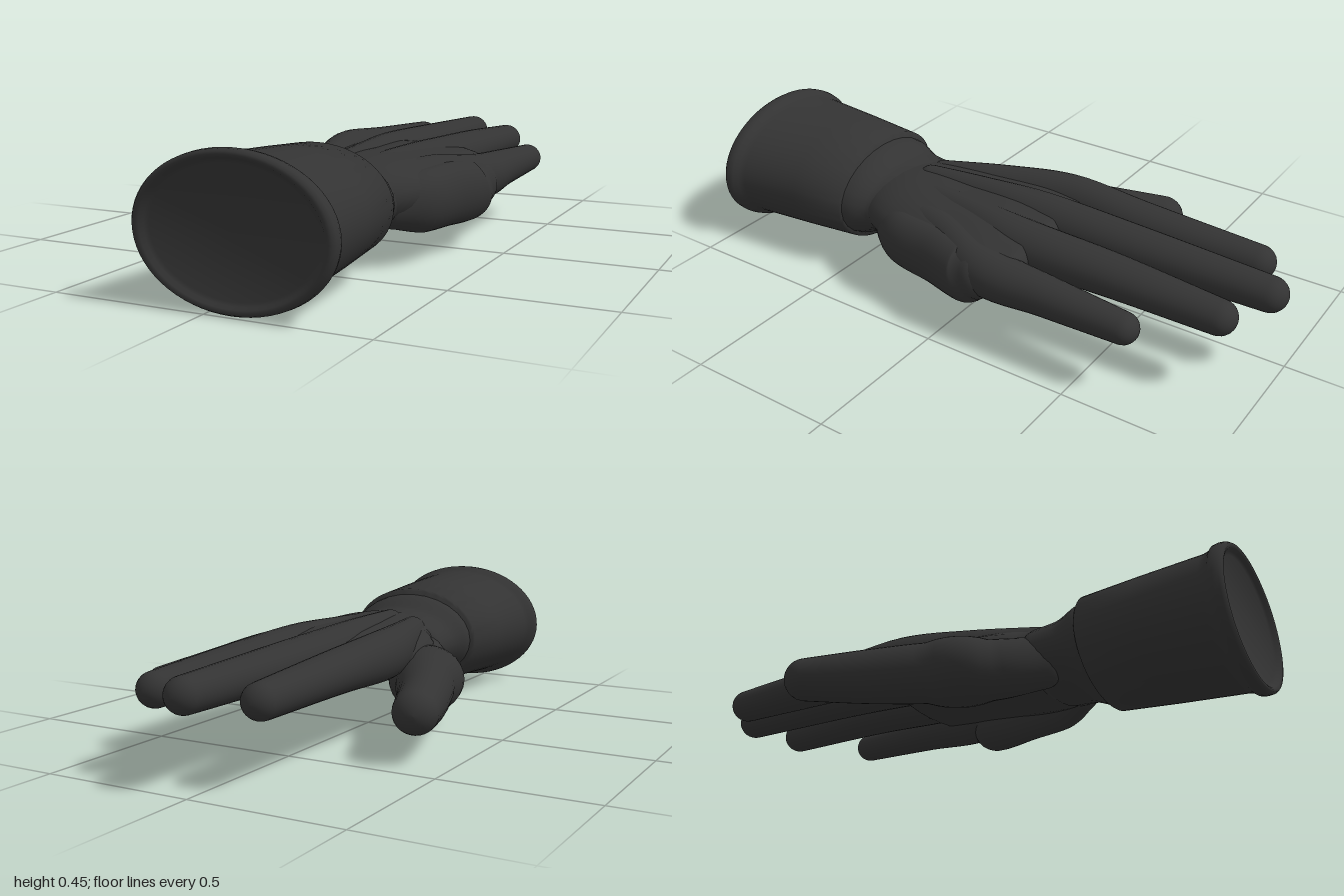
import * as THREE from 'three';
import { toCreasedNormals } from 'three/addons/utils/BufferGeometryUtils.js';

// Smooth limb with rounded ends; each row is [x, y, z, half width, half height]
function limb(rows, startCap = 1, endCap = 1) {
  const path = new THREE.CatmullRomCurve3(rows.map(r => new THREE.Vector3(r[0], r[1], r[2])));
  const size = new THREE.CatmullRomCurve3(rows.map(r => new THREE.Vector3(r[3], r[4], 0)));
  const steps = (rows.length - 1) * 6, sides = 28, capRings = 7;
  const rings = [];
  const addRing = (t, angle, dir, cap) => {
    const s = size.getPoint(t), tangent = path.getTangent(t);
    const centre = path.getPoint(t).addScaledVector(tangent, dir * cap * Math.min(s.x, s.y) * Math.sin(angle));
    const k = Math.max(Math.cos(angle), 0.002);
    rings.push({ centre, tangent, w: s.x * k, h: s.y * k });
  };
  for (let i = capRings; i > 0; i--) addRing(0, i / capRings * Math.PI / 2, -1, startCap);
  for (let i = 0; i <= steps; i++) addRing(i / steps, 0, 0, 0);
  for (let i = 1; i <= capRings; i++) addRing(1, i / capRings * Math.PI / 2, 1, endCap);

  const pos = [], index = [], up = new THREE.Vector3(0, 1, 0);
  rings.forEach((r, i) => {
    const side = new THREE.Vector3().crossVectors(r.tangent, up).normalize();
    const top = new THREE.Vector3().crossVectors(side, r.tangent);
    for (let j = 0; j < sides; j++) {
      const a = j / sides * Math.PI * 2;
      const p = r.centre.clone().addScaledVector(side, Math.cos(a) * r.w).addScaledVector(top, Math.sin(a) * r.h);
      pos.push(p.x, p.y, p.z);
      if (i === rings.length - 1) continue;
      const p0 = i * sides + j, p1 = i * sides + (j + 1) % sides;
      index.push(p0, p0 + sides, p1, p1, p0 + sides, p1 + sides);
    }
  });
  const g = new THREE.BufferGeometry();
  g.setAttribute('position', new THREE.Float32BufferAttribute(pos, 3));
  g.setIndex(index);
  g.computeVertexNormals();
  return g;
}

export function createModel() {
  const glove = new THREE.Group();
  glove.name = 'glove';
  const rubber = new THREE.MeshStandardMaterial({ color: 0x333333 });
  rubber.name = 'black rubber';
  const add = (name, geometry) => {
    const mesh = new THREE.Mesh(geometry, rubber);
    mesh.name = name;
    glove.add(mesh);
  };

  // Oval cuff with a rolled rim and a slightly sunken end; points are [radius, z]
  const profile = [
    [0, 0.5], [0.246, 0.5], [0.253, 0.506], [0.272, 0.7], [0.29, 0.92], [0.298, 0.943], [0.312, 0.955],
    [0.316, 0.97], [0.314, 0.988], [0.306, 0.998], [0.296, 1], [0.286, 0.996], [0.276, 0.986], [0.262, 0.98], [0, 0.98],
  ].map(p => new THREE.Vector2(...p));
  const cuff = new THREE.LatheGeometry(profile, 64);
  cuff.rotateX(Math.PI / 2);
  cuff.scale(1, 0.713, 1);
  cuff.translate(0.08, 0.226, 0);
  add('cuff', toCreasedNormals(cuff, 0.9));

  // Wrist narrowing out of the cuff
  add('wrist', limb([
    [0.085, 0.226, 0.53, 0.245, 0.163], [0.085, 0.226, 0.48, 0.238, 0.156],
    [0.085, 0.222, 0.41, 0.212, 0.125], [0.09, 0.22, 0.33, 0.215, 0.115],
  ], 0.05, 0.6));

  // Palm
  add('palm', limb([
    [0.085, 0.225, 0.4, 0.19, 0.11], [0.11, 0.23, 0.28, 0.235, 0.115], [0.105, 0.24, 0.1, 0.28, 0.1],
    [0.11, 0.25, -0.08, 0.29, 0.088], [0.11, 0.25, -0.2, 0.275, 0.075],
  ], 0.5, 0.8));

  // Fingers, each starting as a ridge on the back of the hand
  const fingers = {
    indexFinger: [
      [-0.01, 0.262, 0.31, 0.055, 0.07], [-0.08, 0.268, 0.08, 0.065, 0.078], [-0.13, 0.27, -0.14, 0.075, 0.083],
      [-0.126, 0.264, -0.42, 0.075, 0.07], [-0.131, 0.253, -0.83, 0.058, 0.056]],
    middleFinger: [
      [0.075, 0.278, 0.3, 0.055, 0.075], [0.055, 0.278, 0.08, 0.063, 0.081], [0.04, 0.275, -0.14, 0.08, 0.084],
      [0.042, 0.278, -0.45, 0.077, 0.07], [0.045, 0.272, -0.942, 0.058, 0.056]],
    ringFinger: [
      [0.15, 0.27, 0.3, 0.055, 0.07], [0.175, 0.268, 0.08, 0.065, 0.078], [0.205, 0.265, -0.14, 0.082, 0.082],
      [0.207, 0.265, -0.48, 0.077, 0.068], [0.215, 0.255, -0.858, 0.057, 0.055]],
    littleFinger: [
      [0.23, 0.25, 0.29, 0.06, 0.07], [0.28, 0.245, 0.08, 0.07, 0.078], [0.35, 0.222, -0.12, 0.08, 0.08],
      [0.363, 0.222, -0.35, 0.067, 0.065], [0.375, 0.22, -0.63, 0.051, 0.05]],
  };
  for (const [name, rows] of Object.entries(fingers)) add(name, limb(rows));

  // Padded outer edge of the hand, ending at the little knuckle
  add('outerPad', limb([
    [0.25, 0.2, 0.34, 0.06, 0.075], [0.305, 0.2, 0.24, 0.075, 0.1], [0.328, 0.198, 0.09, 0.075, 0.104],
    [0.353, 0.195, -0.05, 0.086, 0.103], [0.37, 0.21, -0.1, 0.066, 0.08],
  ]));

  // Thumb with its thick base
  add('thumb', limb([
    [-0.045, 0.185, 0.33, 0.07, 0.09], [-0.13, 0.157, 0.19, 0.1, 0.1], [-0.218, 0.155, 0.0, 0.1, 0.1],
    [-0.3, 0.152, -0.18, 0.084, 0.09], [-0.373, 0.157, -0.374, 0.073, 0.071],
  ]));

  return glove;
}
